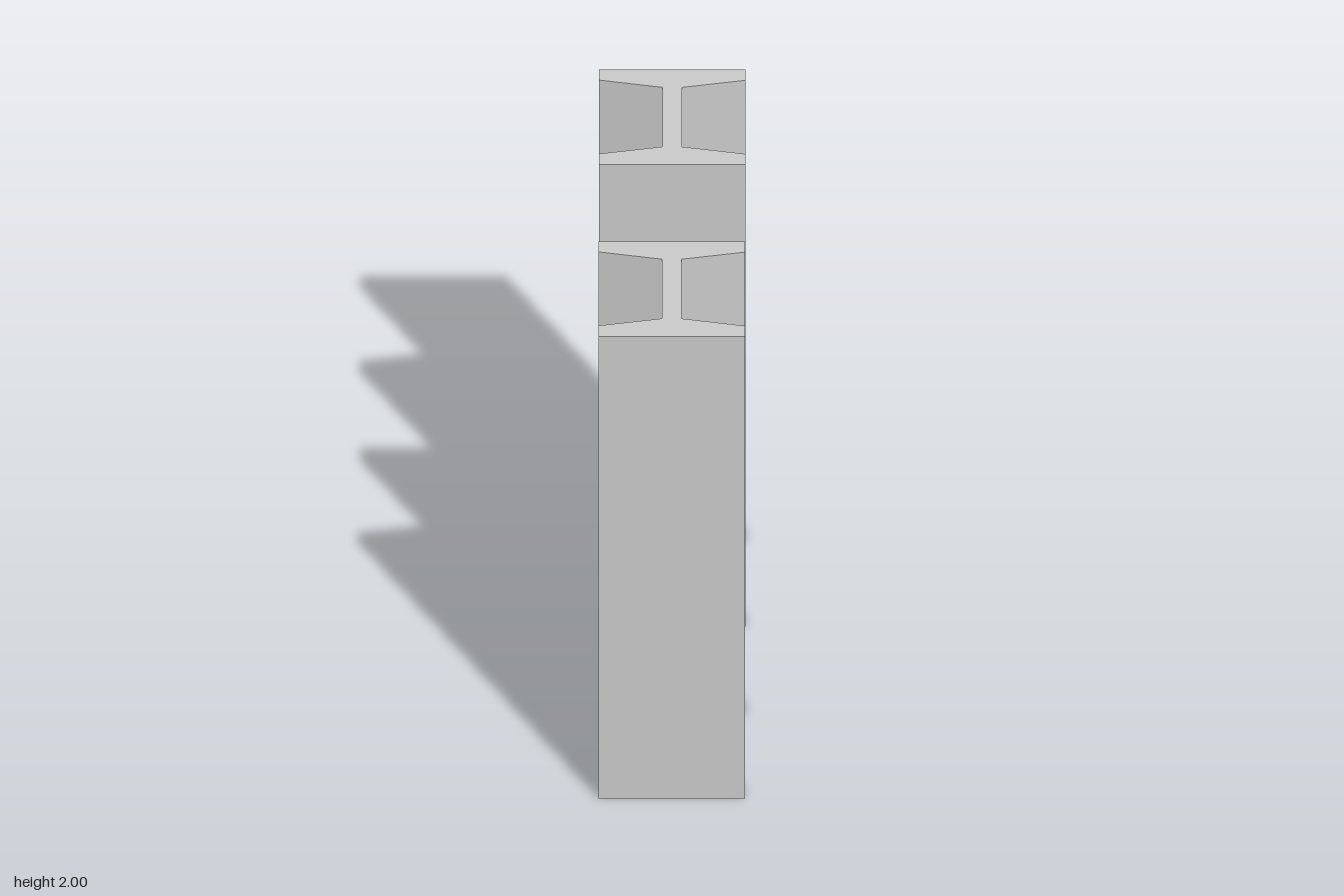
import * as THREE from 'three';

const HEIGHT = 2;
const HALF_WIDTH = 0.253;   // flange half width
const HALF_DEPTH = 0.272;   // web direction half depth
const HALF_WEB = 0.034;     // web half thickness
const TIP = 0.061;          // flange thickness at its tip
const ROOT = 0.102;         // flange thickness at the web
const OFFSET = 0.492;       // beam centre from the origin

// Tapered-flange I section, built from one quarter mirrored around
function beamSection() {
  const quarter = [
    [HALF_WIDTH, HALF_DEPTH],
    [HALF_WIDTH, HALF_DEPTH - TIP],
    [HALF_WEB, HALF_DEPTH - ROOT],
  ];
  const mirror = (sx, sy) => quarter.map(([x, y]) => new THREE.Vector2(x * sx, y * sy));
  return new THREE.Shape([
    ...mirror(1, 1),
    ...mirror(1, -1).reverse(),
    ...mirror(-1, -1),
    ...mirror(-1, 1).reverse(),
  ]);
}

export function createModel() {
  const group = new THREE.Group();
  group.name = 'beamPair';
  const material = new THREE.MeshStandardMaterial({ color: 0xcccccc, flatShading: true });

  // Extrude the section and stand it upright
  const geometry = new THREE.ExtrudeGeometry(beamSection(), { depth: HEIGHT, bevelEnabled: false });
  geometry.rotateX(-Math.PI / 2);

  // Front and back beams
  for (const [name, side] of [['frontBeam', 1], ['backBeam', -1]]) {
    const beam = new THREE.Mesh(geometry, material);
    beam.name = name;
    beam.position.z = side * OFFSET;
    group.add(beam);
  }
  return group;
}
